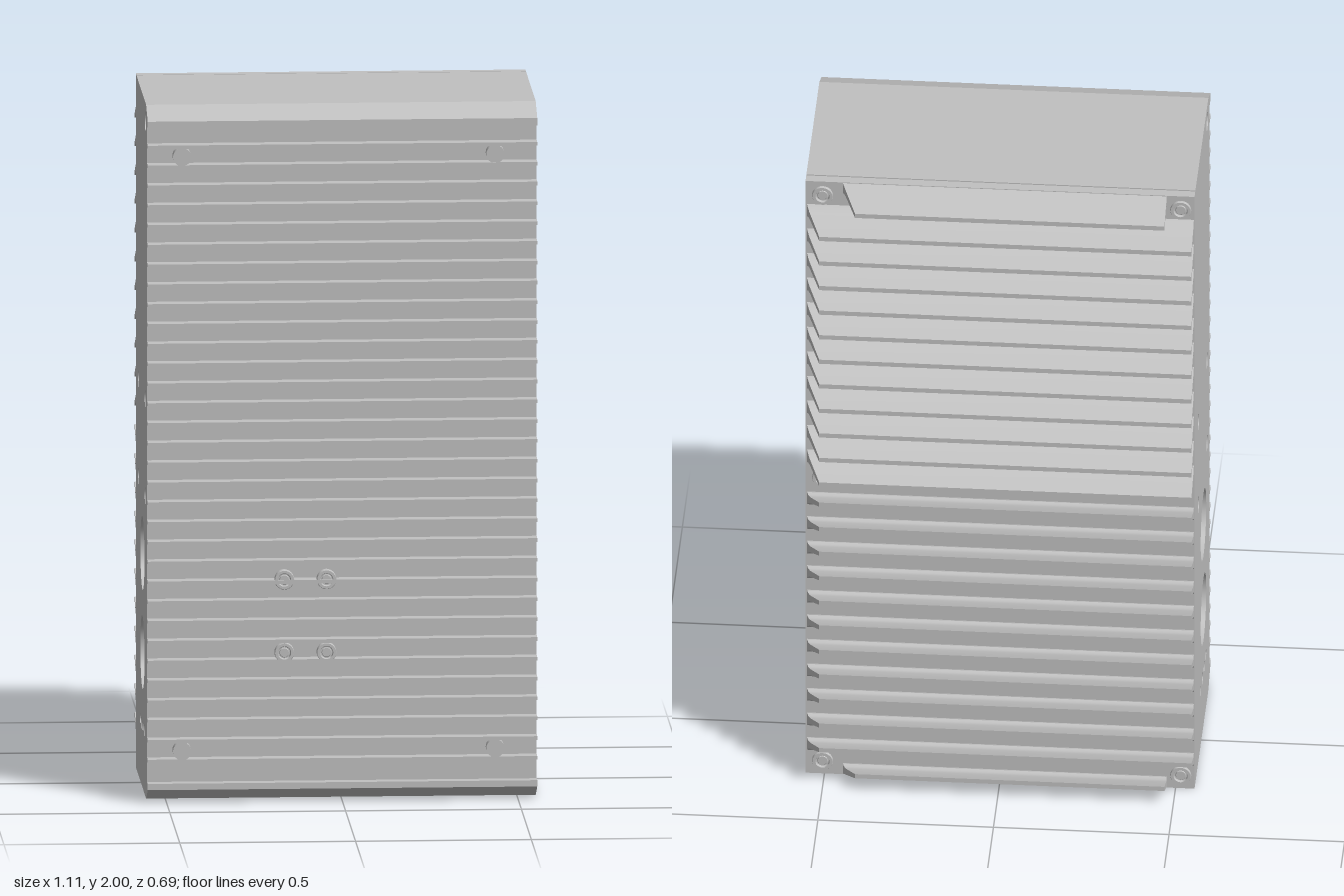
import * as THREE from 'three';
import { toCreasedNormals } from 'three/addons/utils/BufferGeometryUtils.js';

const grey = new THREE.MeshStandardMaterial({ color: 0xc0c0c0 });
grey.name = 'cast aluminium grey';

const HALF = 0.554; // half width

function part(parent, name, geometry, x = 0, y = 0, z = 0) {
  const mesh = new THREE.Mesh(geometry, grey);
  mesh.name = name;
  mesh.position.set(x, y, z);
  parent.add(mesh);
  return mesh;
}

const points = (list) => list.map(([a, b]) => new THREE.Vector2(a, b));

// Extrudes a (z, y) outline with (z, y) holes from x0 to x1.
function extrudeX(outline, holes, x0, x1) {
  const flip = (list) => {
    const p = points(list.map(([z, y]) => [-z, y]));
    return THREE.ShapeUtils.isClockWise(p) ? p.reverse() : p;
  };
  const shape = new THREE.Shape(flip(outline));
  shape.holes = holes.map((h) => new THREE.Path(flip(h)));
  const g = new THREE.ExtrudeGeometry(shape, { depth: x1 - x0, bevelEnabled: false });
  g.translate(0, 0, x0).rotateY(Math.PI / 2);
  return toCreasedNormals(g, 0.35);
}

function circle(z, y, r, n = 28) {
  return Array.from({ length: n }, (_, i) => {
    const a = (i / n) * Math.PI * 2;
    return [z + r * Math.cos(a), y + r * Math.sin(a)];
  });
}

// Rounded opening whose long sides can bulge outward at given heights.
function opening(zc, half, y0, y1, r, lobes = []) {
  const n = 150;
  const side = (s) => Array.from({ length: n + 1 }, (_, i) => {
    const y = (y0 + y1) / 2 - ((y1 - y0) / 2) * Math.cos((i / n) * Math.PI);
    const d = Math.min(y - y0, y1 - y);
    let w = half;
    if (d < r) w -= r - Math.sqrt(Math.max(0, r * r - (r - d) ** 2));
    for (const l of lobes) {
      w += 0.035 * (1 - THREE.MathUtils.smoothstep(Math.abs(y - l), 0.02, 0.06));
    }
    return [zc + s * w, y];
  });
  return [...side(1), ...side(-1).reverse()];
}

// Screw: low washer ring around a sunken head, facing +z before turning.
function screw(parent, x, y, z, r, facing) {
  const g = new THREE.Group();
  g.name = 'screw';
  g.position.set(x, y, z);
  g.rotation.y = facing;
  const profile = points([[0, 0.003], [r * 0.45, 0.003], [r * 0.5, 0.001], [r * 0.6, 0.001],
    [r * 0.68, 0.008], [r * 0.95, 0.008], [r, 0.005], [r, -0.01]]).reverse();
  const head = toCreasedNormals(new THREE.LatheGeometry(profile, 24), 0.5);
  part(g, 'screwHead', head.rotateX(Math.PI / 2));
  parent.add(g);
}

// Housing section: chamfered ends and fine horizontal fins along the front.
function housingOutline() {
  const base = 0.312, tip = 0.345, pitch = 0.0571, t = 0.0065;
  const out = [[-0.221, 0], [0.265, 0], [tip, 0.038], [tip, 0.056], [base, 0.056]];
  for (let k = -15.5; k <= 15.5; k++) {
    const y = 1.0055 + k * pitch;
    out.push([base, y - t], [tip, y - t * 0.8], [tip, y + t * 0.8], [base, y + t]);
  }
  out.push([base, 1.944], [tip, 1.944], [tip, 1.965], [0.265, 2], [-0.221, 2]);
  return out;
}

// Sloping rear fin with a filleted root; its +x end slants in toward the tip.
function rearFin(first, baseY, mirrored) {
  const root = -0.25, reach = 0.095;
  const top = first ? 0 : 0.012;
  const section = [[0, top], [0.1, top * 0.3 - 0.004], [0.25, -0.0115], [1, -0.046],
    [1, -0.06], [0.3, -0.034], [0.15, -0.032], [0.06, -0.036], [0, -0.05]];
  const outline = section.map(([t, dy]) => {
    const y = baseY + dy;
    return [root - t * reach, mirrored ? 2 - y : y];
  });
  const g = extrudeX(outline, [], first ? -0.475 : -HALF + 0.002, first ? 0.45 : HALF - 0.002);
  const p = g.attributes.position;
  for (let i = 0; i < p.count; i++) {
    if (p.getX(i) > 0) p.setX(i, p.getX(i) - (0.044 * (root - p.getZ(i))) / reach);
  }
  return toCreasedNormals(g, 0.6);
}

export function createModel() {
  const model = new THREE.Group();
  model.name = 'finnedEnclosure';

  // Housing, sliced along x so that the open end and side panel can have holes
  const housing = new THREE.Group();
  housing.name = 'housing';
  model.add(housing);
  const outline = housingOutline();
  const bolt = circle(0.225, 1.945, 0.028);
  const lobes = [0.24, 0.8, 1.2, 1.76];
  const sidePorts = [bolt];
  for (const y of [0.865, 1.145]) for (const z of [-0.11, 0.215]) sidePorts.push(circle(z, y, 0.024));
  for (const y of [0.39, 0.676]) sidePorts.push(circle(0.08, y, 0.105, 40));
  for (let i = 0; i < 4; i++) sidePorts.push(circle(-0.02 + i * 0.063, 0.18, 0.017, 20));
  const cavity = (bulges) => opening(0.0475, 0.1775, 0.08, 1.91, 0.06, bulges);
  part(housing, 'sidePanel', extrudeX(outline, sidePorts, -HALF, -0.5));
  part(housing, 'core', extrudeX(outline, [bolt], -0.5, 0.33));
  part(housing, 'cavityWall', extrudeX(outline, [bolt, cavity()], 0.33, 0.45));
  part(housing, 'cavityFlange', extrudeX(outline, [bolt, cavity(lobes)], 0.45, 0.53));
  part(housing, 'openRim', extrudeX(outline, [opening(0.0475, 0.2375, 0.03, 1.975, 0.035)], 0.53, HALF));

  // Port rings inside the two large side sockets
  for (const y of [0.39, 0.676]) {
    const ring = new THREE.TorusGeometry(0.09, 0.014, 10, 40).rotateY(Math.PI / 2);
    part(housing, 'portRing', ring, -0.515, y, 0.08);
  }

  // Stepped cavity floor seen through the open end
  const floor = new THREE.Shape();
  floor.moveTo(0.3, 0.08);
  floor.lineTo(0.34, 0.08);
  floor.quadraticCurveTo(0.38, 0.09, 0.38, 0.14);
  floor.lineTo(0.38, 0.645);
  floor.lineTo(0.36, 0.69);
  floor.quadraticCurveTo(0.4, 0.7, 0.4, 0.74);
  floor.lineTo(0.4, 0.87);
  floor.bezierCurveTo(0.4, 0.95, 0.35, 0.95, 0.35, 1.02);
  floor.quadraticCurveTo(0.42, 1.04, 0.42, 1.09);
  floor.lineTo(0.42, 1.31);
  floor.lineTo(0.41, 1.36);
  floor.quadraticCurveTo(0.45, 1.365, 0.45, 1.4);
  floor.lineTo(0.45, 1.91);
  floor.lineTo(0.3, 1.91);
  const floorGeometry = new THREE.ExtrudeGeometry(floor, { depth: 0.355, bevelEnabled: false, curveSegments: 10 });
  part(housing, 'cavityFloor', toCreasedNormals(floorGeometry, 0.6), 0, 0, -0.13);

  // Screws around the open end
  for (const y of [0.67, 1.335]) for (const z of [-0.16, 0.25]) screw(housing, 0.531, y, z, 0.024, Math.PI / 2);
  for (const [y, z] of [[0.055, -0.158], [0.055, 0.25], [1.945, -0.158]]) {
    screw(housing, 0.531, y, z, 0.024, Math.PI / 2);
  }

  // Front mounting bosses between the fins
  const boss = new THREE.CylinderGeometry(0.026, 0.026, 0.035, 24).rotateX(Math.PI / 2);
  for (const y of [0.149, 1.862]) {
    for (const x of [-0.456, 0.435]) part(housing, 'mountBoss', boss, x, y, 0.327);
  }

  // Four front fixing screws on short posts
  for (const x of [-0.165, -0.045]) {
    for (const y of [0.43, 0.64]) {
      part(housing, 'fixingPost', boss, x, y, 0.319);
      screw(housing, x, y, 0.337, 0.028, 0);
    }
  }

  // Rear cover, set off from the housing by a thin seam
  const cover = new THREE.Group();
  cover.name = 'rearCover';
  model.add(cover);
  part(cover, 'seamGasket', new THREE.BoxGeometry(1.08, 1.98, 0.012), 0, 1, -0.223);
  part(cover, 'coverPlate', new THREE.BoxGeometry(HALF * 2, 2, 0.029), 0, 1, -0.2405);

  // Rear fins: upper half slopes down, lower half mirrors it
  for (let k = 0; k < 12; k++) {
    part(cover, 'upperFin', rearFin(k === 0, 2 - k * 0.083, false));
    part(cover, 'lowerFin', rearFin(k === 0, 2 - k * 0.083, true));
  }

  // Cover screws at the corners and mid height
  for (const x of [-0.515, 0.505]) for (const y of [0.045, 1, 1.955]) screw(cover, x, y, -0.255, 0.03, Math.PI);

  return model;
}
